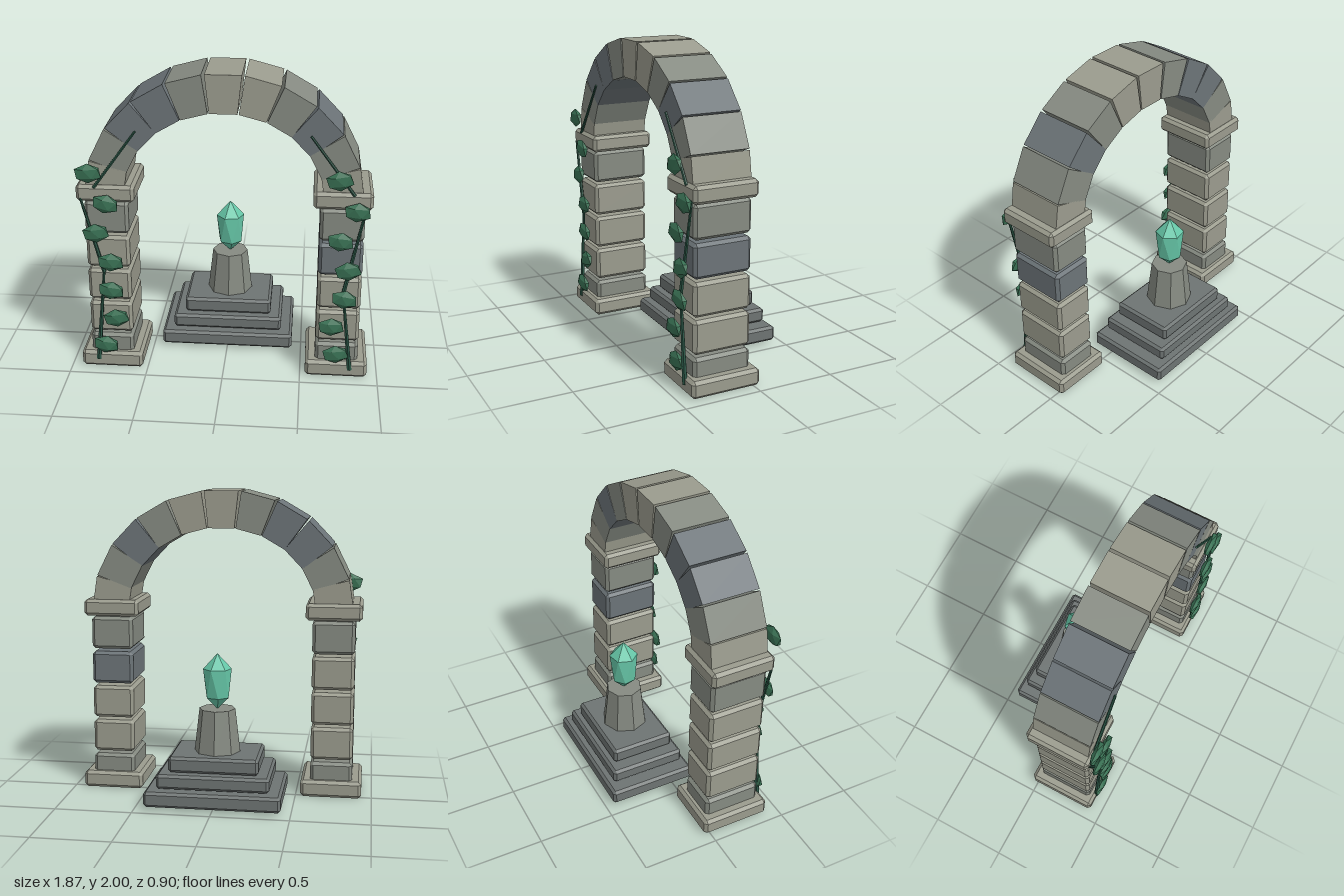
import * as THREE from 'three';
import { ConvexGeometry } from 'three/addons/geometries/ConvexGeometry.js';

const mat = (color) => new THREE.MeshStandardMaterial({ color, flatShading: true });
const LIGHT = mat(0x9b9c8e), MID = mat(0x868b82), DARK = mat(0x6c7478), STEP = mat(0x6e7473);
const VINE = mat(0x2a5545), LEAF = mat(0x3a7255), CRYSTAL = mat(0x66c7a8);
const SHADES = { L: LIGHT, M: MID, D: DARK };

function add(parent, name, geometry, material, x = 0, y = 0, z = 0) {
  const mesh = new THREE.Mesh(geometry, material);
  mesh.name = name;
  mesh.position.set(x, y, z);
  parent.add(mesh);
  return mesh;
}

// Box with every edge and corner cut off by c
function chamferBox(w, h, d, c = 0.02) {
  const points = [];
  for (const sx of [-1, 1]) for (const sy of [-1, 1]) for (const sz of [-1, 1]) {
    const x = w / 2, y = h / 2, z = d / 2;
    points.push(
      new THREE.Vector3(sx * x, sy * (y - c), sz * (z - c)),
      new THREE.Vector3(sx * (x - c), sy * y, sz * (z - c)),
      new THREE.Vector3(sx * (x - c), sy * (y - c), sz * z));
  }
  return new ConvexGeometry(points);
}

// Pillar: base, five blocks and a capital
function pillar(side, shades) {
  const g = new THREE.Group();
  g.name = side > 0 ? 'leftPillar' : 'rightPillar';
  const x = side * 0.7325, z = 0.19;
  add(g, 'pillarBase', chamferBox(0.4, 0.112, 0.46), LIGHT, x, 0.056, z);
  [...shades].forEach((s, i) =>
    add(g, 'pillarBlock', chamferBox(0.276, 0.216, 0.38), SHADES[s], x, 0.12 + i * 0.235, z));
  add(g, 'capital', chamferBox(0.364, 0.11, 0.425), LIGHT, x, 1.23, z);
  return g;
}

// Arch: eleven wedge stones on an elliptical path, turned to its normal
function arch() {
  const g = new THREE.Group();
  g.name = 'arch';
  const shape = new THREE.Shape([[-0.085, -0.12], [0.085, -0.12], [0.111, 0.12], [-0.111, 0.12]]
    .map(([x, y]) => new THREE.Vector2(x, y)));
  const wedge = new THREE.ExtrudeGeometry(shape, { depth: 0.38, bevelEnabled: false });
  const a = 0.7325, b = 0.665;
  [...'LMDDMLLMDML'].forEach((s, i) => {
    const t = (i - 5) * Math.PI / 11;
    const stone = add(g, 'archStone', wedge, SHADES[s], a * Math.sin(t), 1.215 + b * Math.cos(t), 0);
    stone.rotation.z = -Math.atan2(Math.sin(t) / a, Math.cos(t) / b);
  });
  return g;
}

// Altar: three steps, octagonal pedestal and a crystal
function altar() {
  const g = new THREE.Group();
  g.name = 'altar';
  g.position.z = -0.16;
  const steps = [[0.875, 0.58, 0.02, 0.12], [0.725, 0.5, 0.132, 0.226], [0.578, 0.42, 0.232, 0.334]];
  for (const [w, d, y0, y1] of steps)
    add(g, 'altarStep', chamferBox(w, y1 - y0, d, 0.017), STEP, 0, (y0 + y1) / 2);
  add(g, 'pedestal', new THREE.CylinderGeometry(0.117, 0.15, 0.285, 8), MID, 0, 0.473);

  const profile = [[0, 0.61], [0.08, 0.69], [0.092, 0.875], [0, 0.975]].map(p => new THREE.Vector2(...p));
  const crystal = new THREE.LatheGeometry(profile, 6);
  // Twist the upper ring half a facet so the sides break into triangles
  const p = crystal.attributes.position, v = new THREE.Vector3(), up = new THREE.Vector3(0, 1, 0);
  for (let i = 0; i < p.count; i++) {
    v.fromBufferAttribute(p, i);
    if (v.y > 0.8) v.applyAxisAngle(up, Math.PI / 6);
    p.setXYZ(i, v.x, v.y, v.z);
  }
  add(g, 'crystal', crystal, CRYSTAL).rotation.y = 0.2;
  return g;
}

// Vine: straight stems between pairs of points, with faceted leaves
function vine(name, stems, leafXs) {
  const g = new THREE.Group();
  g.name = name;
  stems.forEach(([x0, y0, z0, x1, y1, z1], i) => {
    const from = new THREE.Vector3(x0, y0, z0), to = new THREE.Vector3(x1, y1, z1);
    const dir = to.clone().sub(from);
    const stem = add(g, 'stem', new THREE.CylinderGeometry(0.008, 0.017 - i * 0.003, dir.length(), 6), VINE);
    stem.position.copy(from).add(to).multiplyScalar(0.5);
    stem.quaternion.setFromUnitVectors(new THREE.Vector3(0, 1, 0), dir.normalize());
  });
  const leafShape = new THREE.IcosahedronGeometry(1, 0);
  leafShape.rotateZ(0.5).scale(0.092, 0.064, 0.028);
  leafXs.forEach((x, i) => {
    const leaf = add(g, 'leaf', leafShape, LEAF, x, 0.175 + i * 0.2, 0.425);
    leaf.rotation.z = 0.2 * Math.sin(i * 2.3 + x);
  });
  return g;
}

export function createModel() {
  const model = new THREE.Group();
  model.name = 'stoneArchShrine';
  model.add(
    pillar(-1, 'MLLLM'), pillar(1, 'MLLDM'), arch(), altar(),
    vine('rightVine', [
      [-0.82, 0.06, 0.415, -0.755, 0.73, 0.41],
      [-0.755, 0.7, 0.41, -0.885, 1.2, 0.4],
      [-0.8, 1.27, 0.395, -0.53, 1.64, 0.388],
    ], [-0.765, -0.69, -0.715, -0.71, -0.795, -0.725, -0.825]),
    vine('leftVine', [
      [0.82, 0.06, 0.415, 0.755, 0.63, 0.41],
      [0.755, 0.6, 0.41, 0.875, 1.2, 0.4],
      [0.8, 1.27, 0.395, 0.525, 1.64, 0.388],
    ], [0.725, 0.69, 0.765, 0.78, 0.725, 0.82, 0.705]));
  return model;
}
